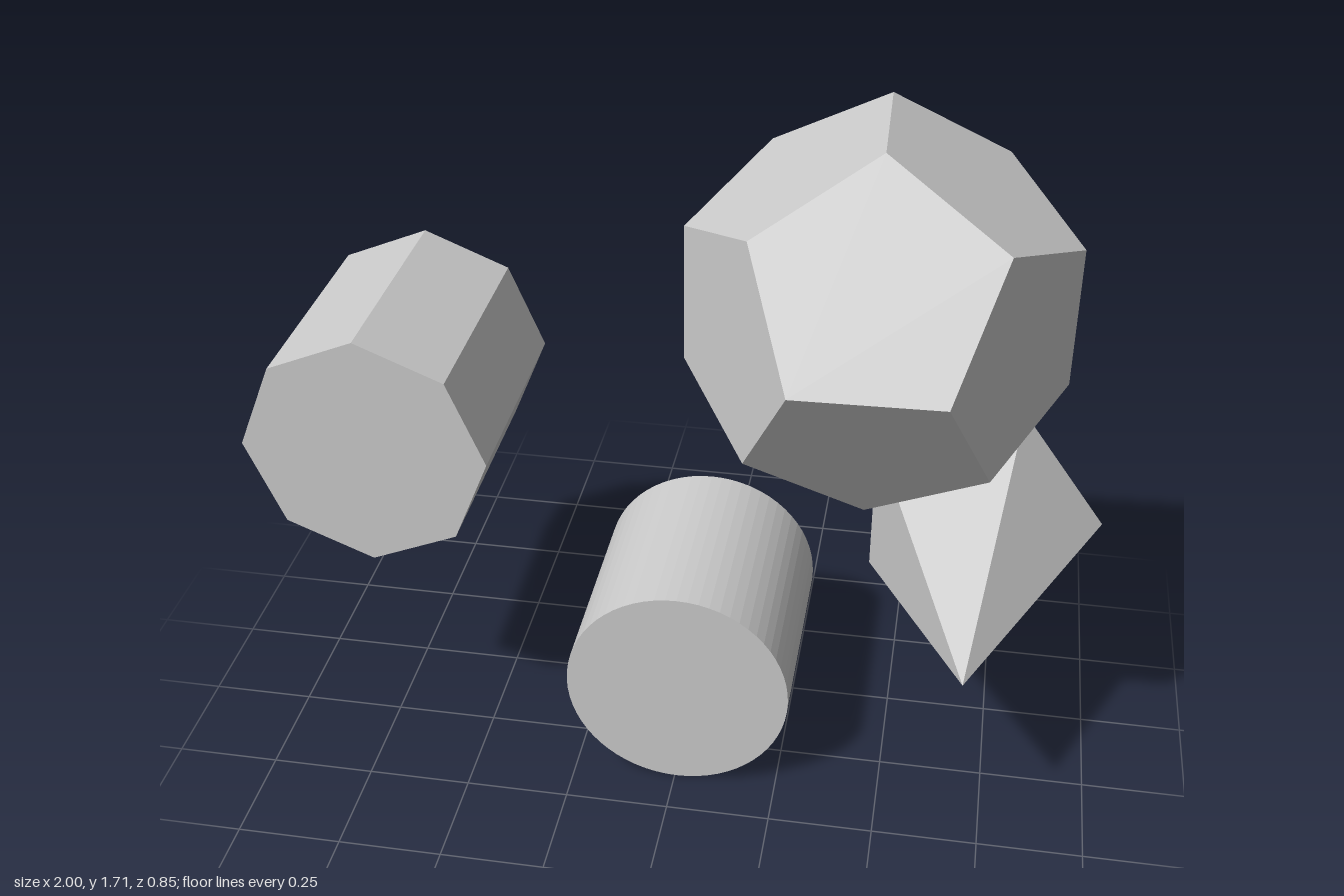
import * as THREE from 'three';

export function createModel() {
  const model = new THREE.Group();
  const material = new THREE.MeshStandardMaterial({ color: 0xcccccc, flatShading: true });

  const add = (name, geometry, x, y, z) => {
    const mesh = new THREE.Mesh(geometry, material);
    mesh.name = name;
    mesh.position.set(x, y, z);
    model.add(mesh);
    return mesh;
  };

  // Prism, cylinder or pyramid lying along z, with its first corner towards +x
  const addSolid = (name, frontRadius, backRadius, sides, x, y, back, front) => {
    const geometry = new THREE.CylinderGeometry(
      frontRadius, backRadius, front - back, sides, 1, false, Math.PI / 2);
    geometry.rotateX(Math.PI / 2);
    return add(name, geometry, x, y, (front + back) / 2);
  };

  addSolid('octagonalPrism', 0.289, 0.289, 8, -0.711, 0.894, -0.405, 0.17);
  addSolid('cylinder', 0.271, 0.271, 64, 0.005, 0.271, -0.405, 0.135);
  addSolid('pentagonalPyramid', 0, 0.318, 5, 0.679, 0.508, -0.405, 0.29);

  // Dodecahedron with a horizontal edge in front, turned very slightly
  const dodecahedron = add('dodecahedron', new THREE.DodecahedronGeometry(0.452), 0.424, 1.285, -0.005);
  dodecahedron.rotation.set(0, 0.03, Math.PI / 2);

  return model;
}
